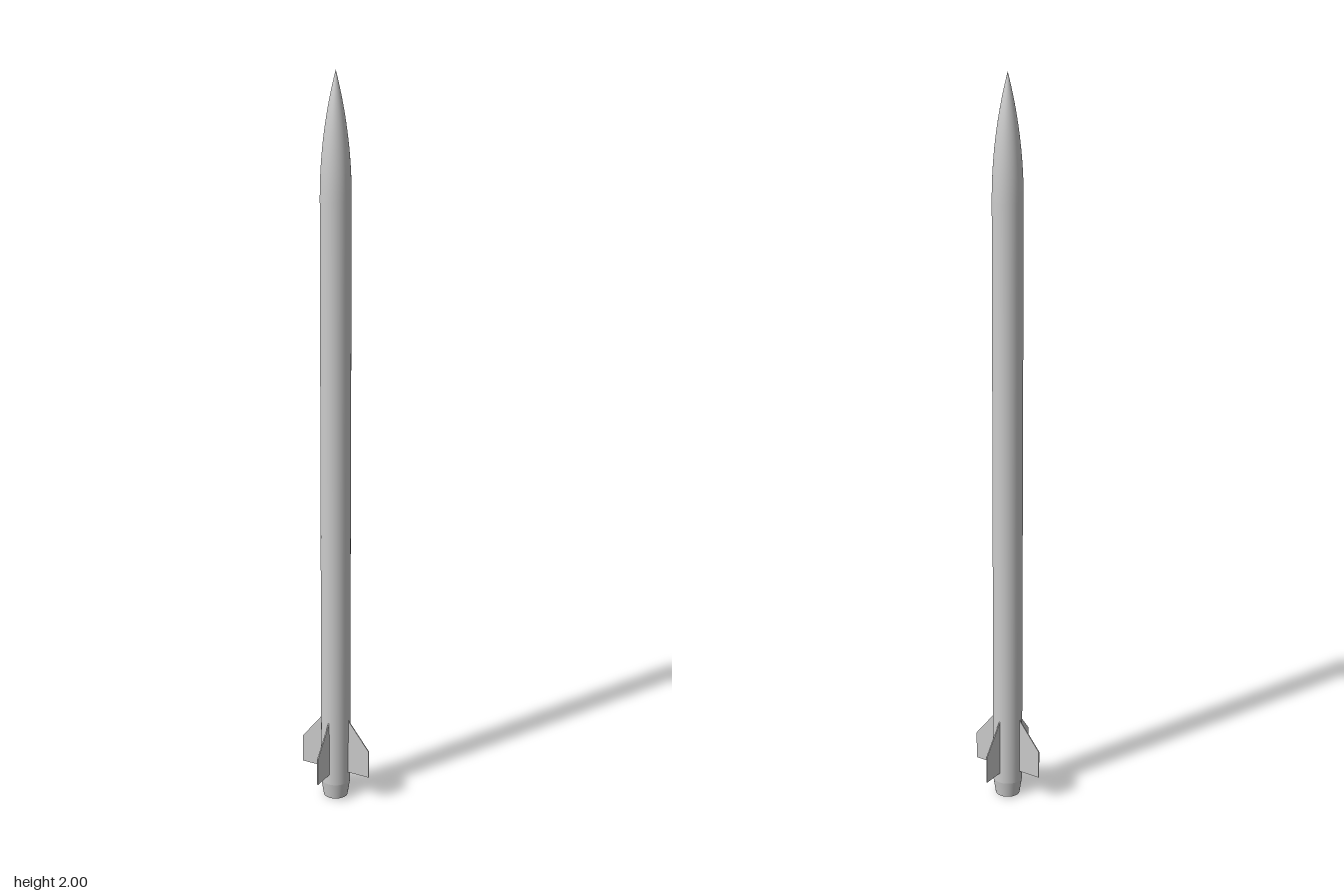
import * as THREE from 'three';

const R = 0.04; // body radius
const SIDES = 48;
const TAIL_TOP = 0.045;
const NOSE_BASE = 1.68;
const HEIGHT = 2;

export function createModel() {
  const group = new THREE.Group();
  const material = new THREE.MeshStandardMaterial({ color: 0xcccccc, side: THREE.DoubleSide });

  const add = (name, geometry) => {
    const mesh = new THREE.Mesh(geometry, material);
    mesh.name = name;
    group.add(mesh);
    return mesh;
  };

  // Long straight tube, open at both ends
  const tubeLength = NOSE_BASE - TAIL_TOP;
  add('bodyTube', new THREE.CylinderGeometry(R, R, tubeLength, SIDES, 1, true))
    .position.y = TAIL_TOP + tubeLength / 2;

  // Tapered tail, open underneath
  add('tailCone', new THREE.CylinderGeometry(R, 0.033, TAIL_TOP, SIDES, 1, true))
    .position.y = TAIL_TOP / 2;

  // Pointed nose: a circular arc tangent to the tube
  const noseLength = HEIGHT - NOSE_BASE;
  const arc = (R * R + noseLength * noseLength) / (2 * R);
  const profile = [];
  for (let i = 0; i <= 20; i++) {
    const h = (noseLength * i) / 20;
    const r = Math.sqrt(arc * arc - h * h) + R - arc;
    profile.push(new THREE.Vector2(Math.max(r, 0), NOSE_BASE + h));
  }
  add('noseCone', new THREE.LatheGeometry(profile, SIDES));

  // Four thin fins with swept leading edges
  const thickness = 0.003;
  const finShape = new THREE.Shape([
    new THREE.Vector2(R - 0.002, 0.075),
    new THREE.Vector2(0.103, 0.075),
    new THREE.Vector2(0.103, 0.153),
    new THREE.Vector2(R - 0.002, 0.235),
  ]);
  const finGeometry = new THREE.ExtrudeGeometry(finShape, { depth: thickness, bevelEnabled: false });
  finGeometry.translate(0, 0, -thickness / 2);
  ['leftFin', 'backFin', 'rightFin', 'frontFin'].forEach((name, i) => {
    add(name, finGeometry).rotation.y = (i * Math.PI) / 2;
  });

  return group;
}
